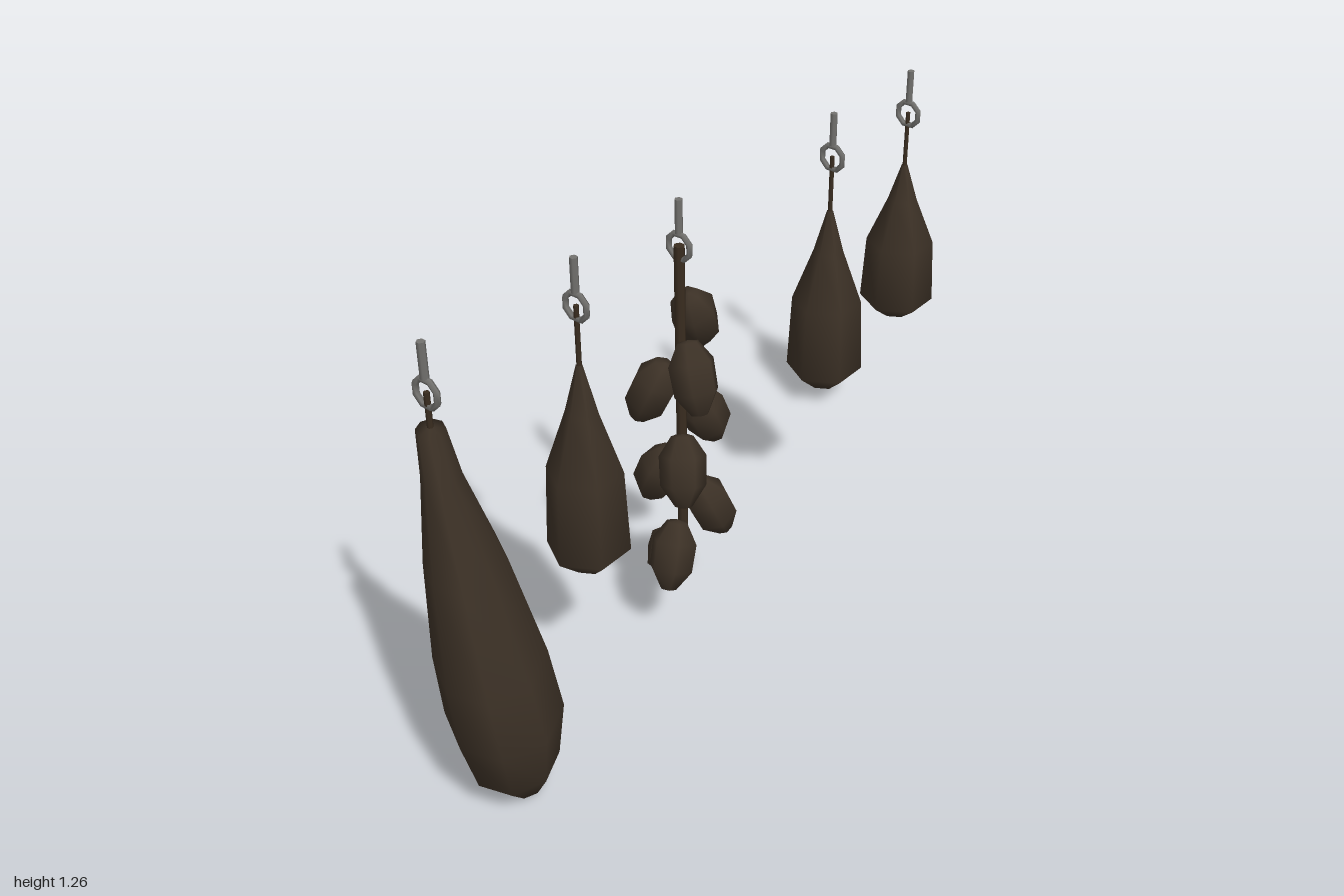
import * as THREE from 'three';
import { mergeVertices } from 'three/addons/utils/BufferGeometryUtils.js';

const HANG_Z = -0.045;

export function createModel() {
  const root = new THREE.Group();
  root.name = 'hangingFoods';
  const brown = new THREE.MeshStandardMaterial({ color: 0x3c3126 });
  brown.name = 'dark brown';
  const cord = new THREE.MeshStandardMaterial({ color: 0x3a2d20 });
  cord.name = 'cord brown';
  const metal = new THREE.MeshStandardMaterial({ color: 0x73726f });
  metal.name = 'grey metal';

  const add = (parent, name, geometry, material, x = 0, y = 0, z = 0) => {
    const mesh = new THREE.Mesh(geometry, material);
    mesh.name = name;
    mesh.position.set(x, y, z);
    parent.add(mesh);
    return mesh;
  };
  const lathe = (points, sides, start = 0) =>
    new THREE.LatheGeometry(points.map(([r, y]) => new THREE.Vector2(r, y)), sides, start);
  // Upright cord or rod between two heights
  const post = (r, y0, y1, sides) =>
    new THREE.CylinderGeometry(r, r, y1 - y0, sides).translate(0, (y0 + y1) / 2, 0);

  // Group at one hanging point, with its rod and ring
  const hanger = (name, x) => {
    const g = new THREE.Group();
    g.name = name;
    g.position.set(x, 0, HANG_Z);
    root.add(g);
    add(g, 'hookRod', post(0.01, 1.172, 1.26, 6), metal);
    add(g, 'hookRing', new THREE.TorusGeometry(0.034, 0.008, 5, 8).rotateX(0).rotateZ(Math.PI / 8)
      .rotateY(Math.PI / 2), metal, 0, 1.137, 0);
    return g;
  };

  // Ham: flattened eight-sided rings whose centres drift forward lower down
  const ham = hanger('ham', -0.895);
  add(ham, 'hamCord', post(0.007, 1.03, 1.14, 6), cord);
  // height, half width, half thickness, drift
  const rings = [
    [0.0, 0, 0, 0.125], [0.012, 0.05, 0.045, 0.125], [0.11, 0.133, 0.11, 0.105], [0.26, 0.174, 0.138, 0.095],
    [0.43, 0.172, 0.13, 0.075], [0.7, 0.122, 0.092, 0.042], [0.93, 0.058, 0.045, 0.012],
    [1.05, 0.038, 0.032, 0], [1.055, 0, 0, 0],
  ];
  let hamGeo = lathe(rings.map(([y, w]) => [w, y]), 8);
  const pos = hamGeo.attributes.position;
  for (let i = 0; i < pos.count; i++) {
    const [, w, t, drift] = rings[i % rings.length];
    pos.setZ(i, (w ? pos.getZ(i) * t / w : 0) + drift);
  }
  hamGeo.deleteAttribute('uv');
  hamGeo.deleteAttribute('normal');
  hamGeo = mergeVertices(hamGeo);
  hamGeo.computeVertexNormals();
  add(ham, 'hamBody', hamGeo.rotateY(0.76), brown);

  // Pouches: the same six-sided shape, each with its own bottom height
  for (const [x, bottom] of [[-0.447, 0.408], [0.533, 0.447], [0.892, 0.515]]) {
    const g = hanger('pouch', x);
    const h = 0.985 - bottom;
    add(g, 'pouchCord', post(0.0065, 0.96, 1.14, 6), cord);
    const profile = [[0, 0], [0.04, 0.005], [0.104, 0.11], [0.094, 0.5], [0.04, 0.78], [0.008, 1], [0, 1]];
    add(g, 'pouchBody', lathe(profile.map(([r, f]) => [r, bottom + f * h]), 6, Math.PI / 6), brown);
  }

  // String of bulbs spiralling down a thick stem
  const bulbs = hanger('bulbString', -0.09);
  add(bulbs, 'stem', post(0.014, 0.19, 1.14, 6), cord);
  const bulbGeo = lathe([[0, -0.095], [0.022, -0.09], [0.058, -0.035], [0.06, 0.04], [0.028, 0.09], [0, 0.095]], 6);
  for (let i = 0; i < 9; i++) {
    const a = THREE.MathUtils.degToRad(-11 + 127.5 * i);
    const bulb = add(bulbs, 'bulb', bulbGeo, brown,
      0.077 * Math.cos(a), 0.905 - 0.09 * i, 0.077 * Math.sin(a));
    // Top leans in to the stem
    bulb.rotation.set(0, -a, 0.42, 'YXZ');
  }
  return root;
}
